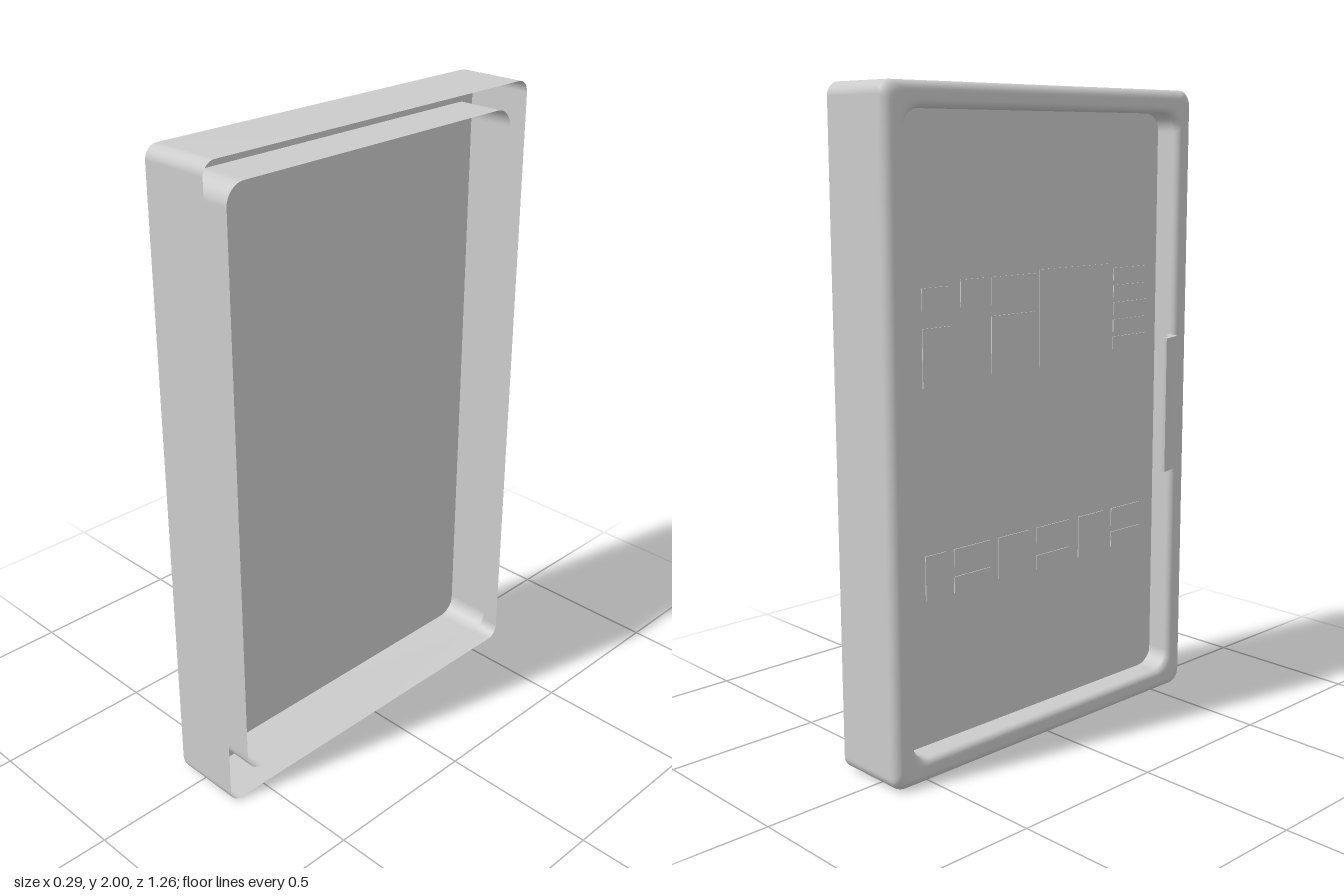
import * as THREE from 'three';

const mat = new THREE.MeshStandardMaterial({ color: 0xcccccc });
const sheetMat = new THREE.MeshStandardMaterial({ color: 0xcccccc, side: THREE.DoubleSide });

// Rounded rectangle in the z-y plane, counter-clockwise, as [z, y] pairs
function roundedLoop(inset, radius, segments = 8) {
  const hz = 0.63 - inset - radius;
  const hy = 1 - inset - radius;
  const corners = [[hz, -hy, -0.5], [hz, hy, 0], [-hz, hy, 0.5], [-hz, -hy, 1]];
  const pts = [];
  for (const [cz, cy, start] of corners) {
    for (let i = 0; i <= segments; i++) {
      const a = (start + 0.5 * i / segments) * Math.PI;
      pts.push([cz + Math.cos(a) * radius, 1 + cy + Math.sin(a) * radius]);
    }
  }
  return pts;
}

// Skin the frame's section [x, inset, corner radius] around the door
function frameGeometry(section) {
  const positions = [], index = [];
  let n = 0;
  section.forEach(([x, inset, radius], i) => {
    const loop = roundedLoop(inset, radius);
    n = loop.length;
    loop.forEach(([z, y]) => positions.push(x, y, z));
    if (i === 0) return;
    for (let j = 0; j < n; j++) {
      const k = (j + 1) % n;
      const a = (i - 1) * n + j, b = (i - 1) * n + k, c = i * n + j, d = i * n + k;
      index.push(a, b, c, b, d, c);
    }
  });
  const geo = new THREE.BufferGeometry();
  geo.setAttribute('position', new THREE.Float32BufferAttribute(positions, 3));
  geo.setIndex(index);
  geo.computeVertexNormals();
  return geo;
}

// Box given by its limits on each axis
function block(name, x0, x1, y0, y1, z0, z1) {
  const mesh = new THREE.Mesh(new THREE.BoxGeometry(x1 - x0, y1 - y0, z1 - z0), mat);
  mesh.position.set((x0 + x1) / 2, (y0 + y1) / 2, (z0 + z1) / 2);
  mesh.name = name;
  return mesh;
}

export function createModel() {
  const door = new THREE.Group();
  door.name = 'door';

  // Hollow frame, open at the back: outer wall, rounded rim, inner wall
  const section = [[0.145, 0, 0.04]];
  const steps = 6;
  for (let i = 0; i <= steps; i++) {
    const a = (i / steps) * Math.PI / 2;
    section.push([-0.072 - 0.03 * Math.sin(a), 0.03 * (1 - Math.cos(a)), 0.04]);
  }
  for (let i = 0; i <= steps; i++) {
    const a = (i / steps) * Math.PI / 2;
    section.push([-0.082 - 0.02 * Math.cos(a), 0.052 + 0.02 * Math.sin(a), 0.06]);
  }
  section.push([0.145, 0.072, 0.06]);
  const frame = new THREE.Mesh(frameGeometry(section), sheetMat);
  frame.name = 'frame';
  door.add(frame);

  // Flat panel filling the opening
  door.add(block('panel', -0.02, -0.005, 0.02, 1.985, -0.556, 0.556));

  // Two thin tabs on the hinge edge
  for (const y of [0.38, 1.38]) door.add(block('hingeTab', -0.024, -0.008, y, y + 0.35, -0.572, -0.54));

  // Thin plates on the panel: [z0, z1, y0, y1]
  const plates = [
    [0.02, 0.325, 1.16, 1.46], [-0.18, 0, 1.37, 1.45], [-0.18, 0, 1.165, 1.335],
    [-0.3, -0.2, 1.37, 1.45], [-0.445, -0.335, 1.37, 1.435], [-0.445, -0.335, 1.15, 1.32],
    [-0.445, -0.365, 0.52, 0.655], [-0.335, -0.19, 0.6, 0.655], [-0.335, -0.19, 0.52, 0.57],
    [-0.155, -0.025, 0.525, 0.655], [0.005, 0.15, 0.605, 0.655], [0.005, 0.15, 0.52, 0.565],
    [0.195, 0.315, 0.52, 0.655], [0.35, 0.495, 0.595, 0.655], [0.35, 0.495, 0.525, 0.575],
  ];
  for (let i = 0; i < 5; i++) plates.push([0.35, 0.51, 1.185 + i * 0.055, 1.225 + i * 0.055]);
  for (const [z0, z1, y0, y1] of plates) door.add(block('panelPlate', -0.023, -0.018, y0, y1, z0, z1));

  // Hooked pull handle, extruded upward from its plan outline [x, z]
  const outline = [
    [-0.085, 0.565], [-0.1, 0.549], [-0.117, 0.549], [-0.13, 0.538], [-0.134, 0.525], [-0.147, 0.478],
    [-0.146, 0.47], [-0.139, 0.467], [-0.132, 0.471], [-0.12, 0.51], [-0.114, 0.517], [-0.1, 0.526], [-0.085, 0.535],
  ];
  const shape = new THREE.Shape(outline.map(([x, z]) => new THREE.Vector2(x, -z)));
  const handleGeo = new THREE.ExtrudeGeometry(shape, { depth: 0.44, bevelEnabled: false });
  handleGeo.rotateX(-Math.PI / 2).translate(0, 0.78, 0);
  const handle = new THREE.Mesh(handleGeo, mat);
  handle.name = 'handle';
  door.add(handle);

  return door;
}
